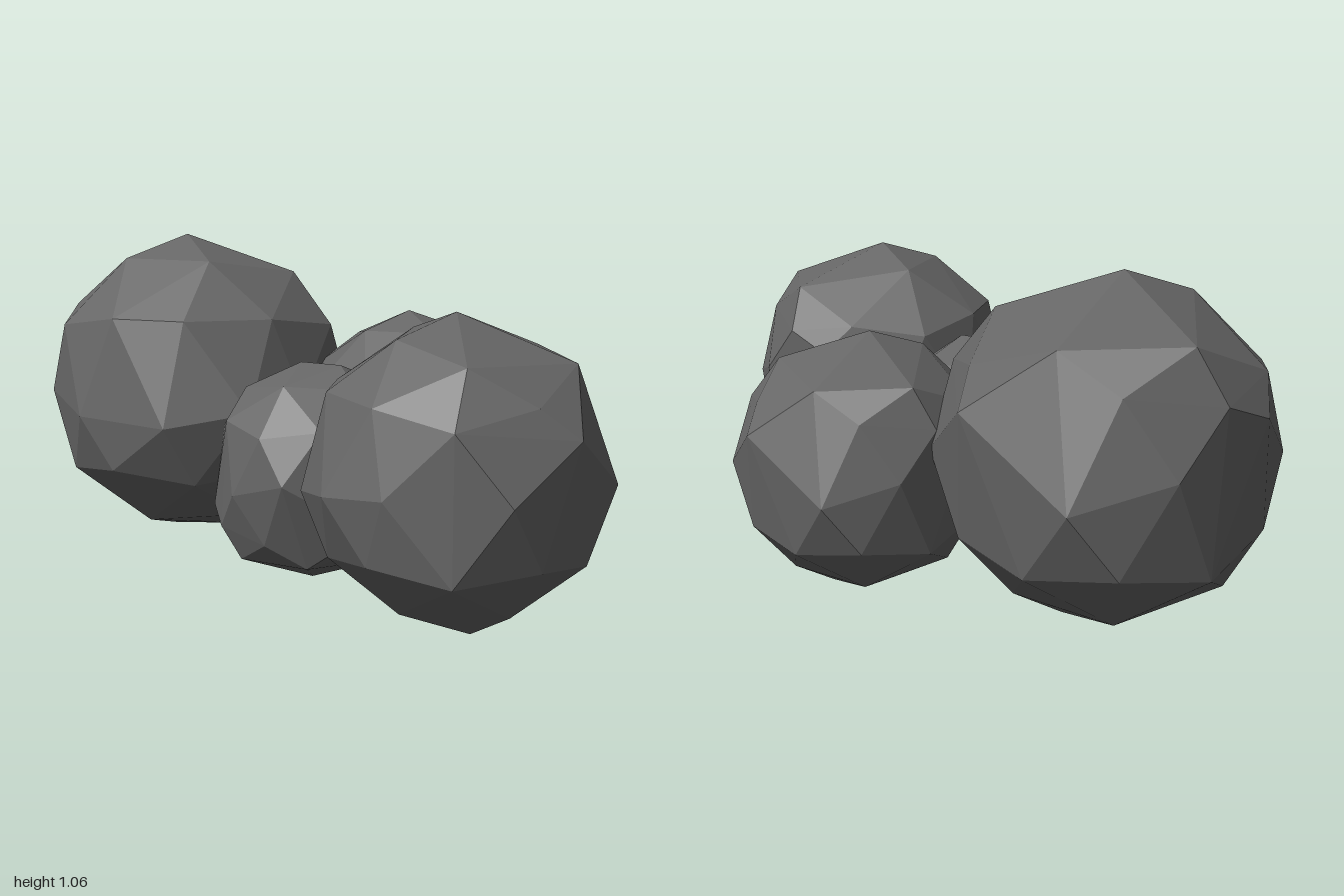
import * as THREE from 'three';
import { ConvexGeometry } from 'three/addons/geometries/ConvexGeometry.js';

// Corners of one boulder, ring by ring: [azimuth in degrees from +x towards -z, radius, height]
const RINGS = [
  // crown
  [217, 0.025, 0.525],
  [5, 0.35, 0.40], [81, 0.38, 0.375], [139, 0.385, 0.385], [221, 0.25, 0.45], [301, 0.235, 0.45],
  // shoulder
  [0, 0.49, 0.225], [36, 0.43, 0.28], [108, 0.43, 0.27], [146, 0.465, 0.23],
  [180, 0.44, 0.27], [216, 0.465, 0.23], [251, 0.44, 0.275], [284, 0.44, 0.275], [324, 0.44, 0.27],
  // waist
  [20, 0.53, 0], [49, 0.51, 0.18], [92, 0.52, -0.035], [126, 0.49, 0.05], [167, 0.48, 0.165],
  [201, 0.50, -0.015], [238, 0.50, -0.055], [277, 0.52, -0.065], [308, 0.53, -0.02], [334, 0.50, 0],
  // lower shoulder
  [0, 0.49, -0.26], [36, 0.465, -0.23], [72, 0.44, -0.27], [108, 0.465, -0.23], [144, 0.44, -0.27],
  [180, 0.45, -0.195], [216, 0.44, -0.27], [252, 0.465, -0.23], [288, 0.44, -0.27], [324, 0.465, -0.23],
  // underside
  [36, 0.30, -0.42], [108, 0.27, -0.44], [180, 0.34, -0.385], [252, 0.27, -0.44], [324, 0.30, -0.42],
  [180, 0.07, -0.515], [21, 0.14, -0.515],
];

function boulderGeometry() {
  const points = RINGS.map(([azimuth, radius, y]) => {
    const a = THREE.MathUtils.degToRad(azimuth);
    return new THREE.Vector3(radius * Math.cos(a), y, -radius * Math.sin(a));
  });
  return new ConvexGeometry(points);
}

export function createModel() {
  const group = new THREE.Group();
  group.name = 'rockCluster';
  const material = new THREE.MeshStandardMaterial({ color: 0x666666, flatShading: true });
  const geometry = boulderGeometry();

  // The same boulder at four sizes, turned to different sides
  const rocks = [
    { name: 'largeRock', position: [-0.53, 0.535, -0.385], scale: 1, rotation: [0, 0, 0] },
    { name: 'backRock', position: [0.25, 0.415, -0.385], scale: 0.77, rotation: [0, 0.05, 0] },
    { name: 'frontRock', position: [0.555, 0.47, 0.465], scale: 0.87, rotation: [0, -1.43, 0] },
    { name: 'smallRock', position: [0.03, 0.355, 0.08], scale: 0.676, rotation: [Math.PI, 0, 0] },
  ];
  for (const { name, position, scale, rotation } of rocks) {
    const rock = new THREE.Mesh(geometry, material);
    rock.name = name;
    rock.position.set(...position);
    rock.rotation.set(...rotation);
    rock.scale.setScalar(scale);
    group.add(rock);
  }
  return group;
}
